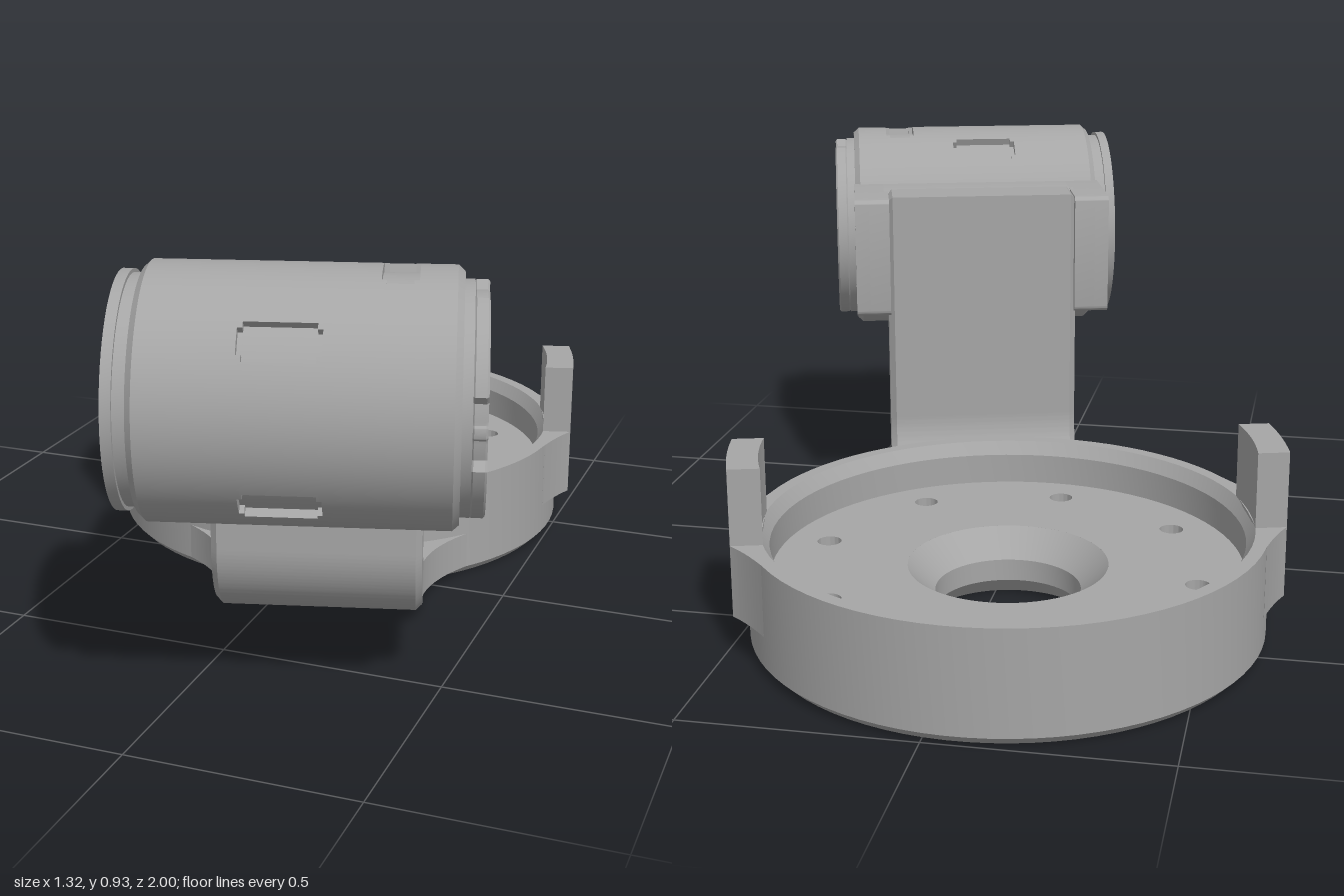
import * as THREE from 'three';
import { toCreasedNormals } from 'three/addons/utils/BufferGeometryUtils.js';

const grey = new THREE.MeshStandardMaterial({ color: 0xa6a6a6, side: THREE.DoubleSide });
grey.name = 'grey';

function add(parent, name, geo) {
  const mesh = new THREE.Mesh(toCreasedNormals(geo, 0.55), grey);
  mesh.name = name;
  parent.add(mesh);
  return mesh;
}

function circleHole(shape, x, y, r) {
  shape.holes.push(new THREE.Path().absarc(x, y, r, 0, Math.PI * 2, true));
}

function disc(r) {
  return new THREE.Shape().absarc(0, 0, r, 0, Math.PI * 2, false);
}

// Holes evenly spaced around a circle
function ringHoles(shape, count, radius, r, start = 0) {
  for (let i = 0; i < count; i++) {
    const a = start + (i / count) * Math.PI * 2;
    circleHole(shape, Math.cos(a) * radius, Math.sin(a) * radius, r);
  }
}

// Extrude a (z, y) side profile between two x values
function alongX(shape, x0, x1, bevel = 0) {
  const geo = new THREE.ExtrudeGeometry(shape, {
    depth: x1 - x0 - bevel * 2, curveSegments: 32, bevelEnabled: bevel > 0,
    bevelSize: bevel, bevelThickness: bevel, bevelOffset: -bevel, bevelSegments: 1,
  });
  return geo.rotateY(-Math.PI / 2).translate(x1 - bevel, 0, 0);
}

// Extrude an (x, z) plan shape between two heights
function alongY(shape, y0, y1) {
  const geo = new THREE.ExtrudeGeometry(shape, { depth: y1 - y0, curveSegments: 32, bevelEnabled: false });
  return geo.rotateX(Math.PI / 2).translate(0, y1, 0);
}

function lathe(points) {
  return new THREE.LatheGeometry(points.map(([r, y]) => new THREE.Vector2(r, y)), 80);
}

// Cylinder skin along x, with sunken windows cut on a grid
function housingSkin(R, depth) {
  const windows = [39, 120, 240, 321].map((a) => ({ a, h: 9, x: -0.027, w: 0.08 }));
  windows.push({ a: 90, h: 18, x: 0.19, w: 0.036 });
  const xs = [-0.298, -0.107, -0.097, 0.043, 0.053, 0.154, 0.164, 0.216, 0.226, 0.298];
  const step = 3, n = 120, pos = [];
  const radius = (i, j) => {
    const x = (xs[i] + xs[i + 1]) / 2, a = (((j + n) % n) + 0.5) * step;
    const inside = windows.some((w) => {
      const da = Math.abs(a - w.a), dx = Math.abs(x - w.x);
      return da < w.h && dx < w.w && !(da > w.h - step && dx > w.w - 0.01);
    });
    return inside ? R - depth : R;
  };
  const point = (x, j, r) => {
    const t = THREE.MathUtils.degToRad((j % n) * step);
    return [x, r * Math.sin(t), r * Math.cos(t)];
  };
  const quad = (a, b, c, d) => pos.push(...a, ...b, ...c, ...a, ...c, ...d);
  for (let i = 0; i < xs.length - 1; i++) {
    for (let j = 0; j < n; j++) {
      const r = radius(i, j), x0 = xs[i], x1 = xs[i + 1];
      quad(point(x0, j, r), point(x1, j, r), point(x1, j + 1, r), point(x0, j + 1, r));
      const up = radius(i, j + 1);
      if (up !== r) quad(point(x0, j + 1, r), point(x1, j + 1, r), point(x1, j + 1, up), point(x0, j + 1, up));
      const side = i < xs.length - 2 ? radius(i + 1, j) : r;
      if (side !== r) quad(point(x1, j, r), point(x1, j, side), point(x1, j + 1, side), point(x1, j + 1, r));
    }
  }
  const geo = new THREE.BufferGeometry();
  geo.setAttribute('position', new THREE.Float32BufferAttribute(pos, 3));
  return geo;
}

function buildBase(parent) {
  const base = new THREE.Group();
  base.name = 'base';
  parent.add(base);
  // Tray floor with bolt holes, wall and flared centre bore
  const floor = disc(0.53);
  circleHole(floor, 0, 0, 0.22);
  ringHoles(floor, 8, 0.423, 0.027, Math.PI / 8);
  add(base, 'trayFloor', alongY(floor, 0, 0.15));
  add(base, 'trayWall', lathe([[0.53, 0], [0.545, 0], [0.565, 0.02], [0.565, 0.25], [0.535, 0.25], [0.516, 0.22], [0.516, 0.145]]));
  add(base, 'centreBore', lathe([[0.22, 0.15], [0.16, 0.09], [0.16, 0.04], [0.195, 0], [0.22, 0]]));
  // Two upright tabs with blended roots
  for (const s of [-1, 1]) {
    const root = new THREE.Shape();
    root.moveTo(s * 0.525, -0.21);
    root.quadraticCurveTo(s * 0.56, -0.14, s * 0.594, -0.1);
    root.quadraticCurveTo(s * 0.604, 0, s * 0.594, 0.1);
    root.quadraticCurveTo(s * 0.56, 0.14, s * 0.525, 0.21);
    root.lineTo(s * 0.53, 0);
    add(base, 'tabRoot', alongY(root, 0.09, 0.25));
    const tab = new THREE.Shape();
    tab.moveTo(s * 0.525, -0.1);
    tab.lineTo(s * 0.594, -0.1);
    tab.quadraticCurveTo(s * 0.604, 0, s * 0.594, 0.1);
    tab.lineTo(s * 0.525, 0.1);
    tab.quadraticCurveTo(s * 0.54, 0, s * 0.525, -0.1);
    add(base, 'tab', alongY(tab, 0.2, 0.42));
  }
}

function buildArm(parent) {
  // Flared foot joining the tray
  const foot = new THREE.Shape();
  foot.moveTo(-0.35, 0.44);
  foot.quadraticCurveTo(-0.235, 0.55, -0.23, 0.68);
  foot.lineTo(0.23, 0.68);
  foot.quadraticCurveTo(0.235, 0.55, 0.35, 0.44);
  foot.quadraticCurveTo(0, 0.62, -0.35, 0.44);
  add(parent, 'armFoot', alongY(foot, 0.02, 0.105));
  // Bent upright
  const arm = new THREE.Shape();
  arm.moveTo(0.5, 0);
  arm.lineTo(0.63, 0);
  arm.absarc(0.63, 0.2, 0.2, -Math.PI / 2, 0, false);
  arm.lineTo(0.83, 0.825);
  arm.lineTo(0.72, 0.825);
  arm.lineTo(0.72, 0.26);
  arm.absarc(0.565, 0.26, 0.155, 0, -Math.PI / 2, true);
  arm.lineTo(0.5, 0.105);
  add(parent, 'arm', alongX(arm, -0.235, 0.235, 0.014));
}

function clampShape(back) {
  const s = new THREE.Shape(), r = 0.018;
  s.moveTo(0.94, 0.527);
  s.lineTo(0.94, 0.82);
  s.lineTo(back + r, 0.82);
  s.quadraticCurveTo(back, 0.82, back, 0.82 - r);
  s.lineTo(back, 0.527 + r);
  s.quadraticCurveTo(back, 0.527, back + r, 0.527);
  return s;
}

function buildClamp(parent) {
  add(parent, 'clampCore', alongX(clampShape(0.81), -0.24, 0.24));
  for (const s of [-1, 1]) {
    const span = (shape, a, b) => (s > 0 ? alongX(shape, a, b) : alongX(shape, -b, -a));
    add(parent, 'clampCheek', span(clampShape(0.708), 0.23, 0.28));
    const plate = clampShape(0.708);
    for (const [y, r] of [[0.76, 0.042], [0.675, 0.014], [0.59, 0.042]]) circleHole(plate, 0.775, y, r);
    add(parent, 'clampPlate', span(plate, 0.28, 0.314));
    for (const y of [0.76, 0.59]) {
      const screw = new THREE.Shape().absarc(0.775, y, 0.028, 0, Math.PI * 2, false);
      circleHole(screw, 0.775, y, 0.014);
      add(parent, 'clampScrew', span(screw, 0.28, 0.3));
    }
  }
}

function buildMotor(parent) {
  const motor = new THREE.Group();
  motor.name = 'motor';
  motor.position.set(0, 0.67, 1.144);
  parent.add(motor);
  add(motor, 'housing', housingSkin(0.26, 0.018));
  // Chamfered housing ends
  for (const s of [-1, 1]) {
    const end = lathe([[0.26, 0.298], [0.248, 0.311], [0.14, 0.311]]).rotateZ(-s * Math.PI / 2);
    add(motor, 'housingEnd', end);
  }
  // Output flange: screw ring around a sunken hub plate
  const ring = disc(0.24);
  circleHole(ring, 0, 0, 0.175);
  ringHoles(ring, 6, 0.208, 0.017, Math.PI / 6);
  add(motor, 'flangeRing', alongX(ring, -0.36, -0.338));
  const backing = disc(0.232);
  circleHole(backing, 0, 0, 0.14);
  add(motor, 'flangeBacking', alongX(backing, -0.338, -0.3));
  const hub = disc(0.16);
  circleHole(hub, 0, 0, 0.065);
  ringHoles(hub, 8, 0.113, 0.018);
  add(motor, 'hubPlate', alongX(hub, -0.345, -0.31));
  add(motor, 'hubFloor', alongX(disc(0.16), -0.3, -0.29));
  // Rear cap: notched screw ring around a smooth cover
  const outline = [];
  for (let d = 0; d < 360; d += 3) {
    const notch = [90, 180, 270].some((a) => Math.abs(d - a) < 17);
    const a = THREE.MathUtils.degToRad(d), r = notch ? 0.212 : 0.233;
    // the cap's notches face up, down and toward the clamp's far side
    outline.push(new THREE.Vector2(-r * Math.cos(a), r * Math.sin(a)));
  }
  const cap = new THREE.Shape(outline);
  circleHole(cap, 0, 0, 0.165);
  ringHoles(cap, 2, 0.198, 0.02);
  for (const a of [47, 133, 227, 313]) {
    const t = THREE.MathUtils.degToRad(a);
    circleHole(cap, Math.cos(t) * 0.198, Math.sin(t) * 0.198, 0.02);
  }
  add(motor, 'capRing', alongX(cap, 0.33, 0.36, 0.004));
  add(motor, 'capBacking', alongX(disc(0.233), 0.305, 0.331));
  add(motor, 'capCover', alongX(disc(0.158), 0.33, 0.352));
}

export function createModel() {
  const model = new THREE.Group();
  model.name = 'motorBracket';
  model.position.set(-0.065, 0, -0.437);
  model.rotation.y = THREE.MathUtils.degToRad(16);
  buildBase(model);
  buildArm(model);
  buildClamp(model);
  buildMotor(model);
  const root = new THREE.Group();
  root.name = 'model';
  root.add(model);
  return root;
}
